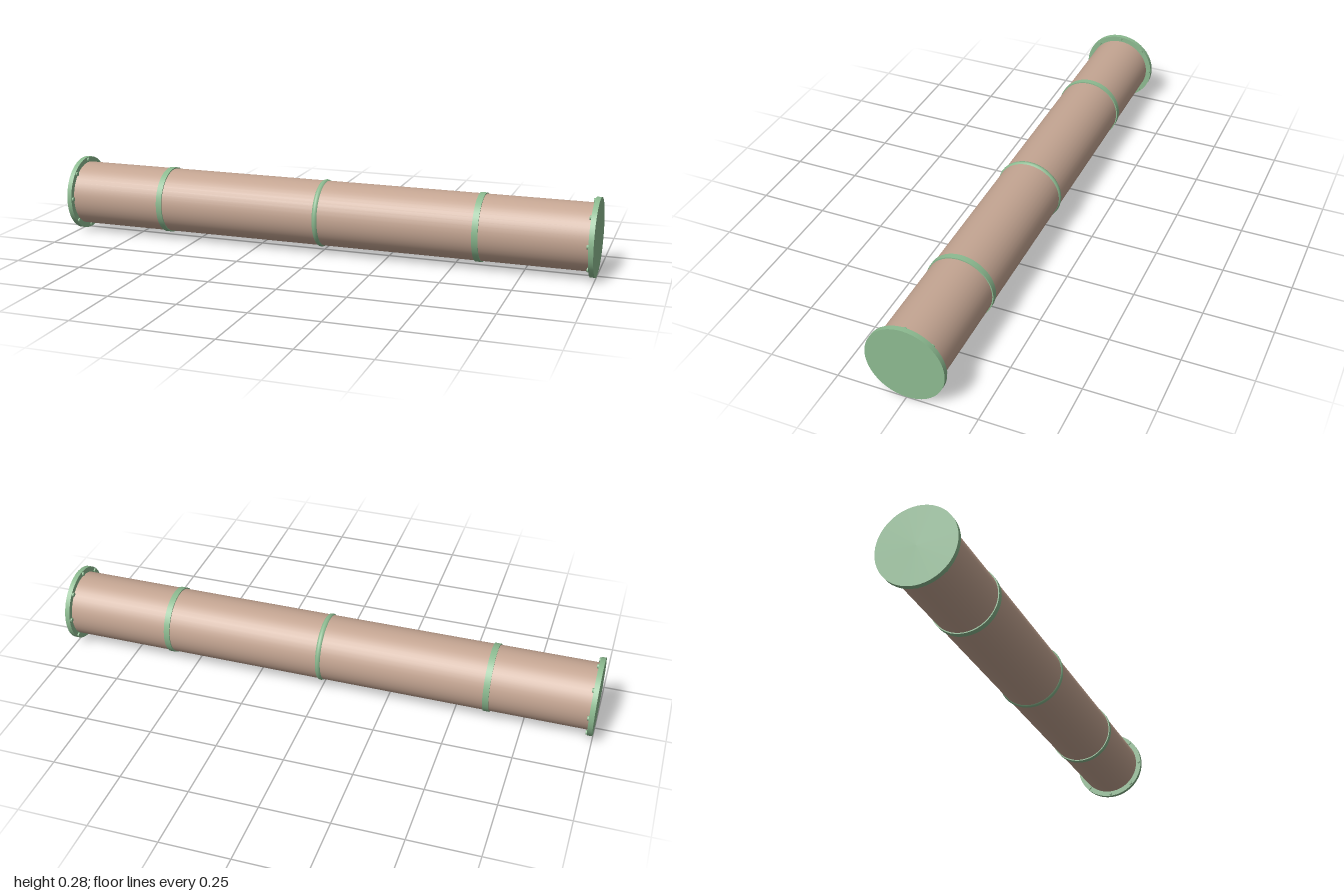
import * as THREE from 'three';

export function createModel() {
  const model = new THREE.Group();
  const tan = new THREE.MeshStandardMaterial({ color: 0xc4a592 });
  const green = new THREE.MeshStandardMaterial({ color: 0x8cba90 });
  const axisY = 0.14;

  // Solid cylinder lying along x
  function disc(name, radius, width, x, material, y = axisY, z = 0, sides = 48) {
    const geometry = new THREE.CylinderGeometry(radius, radius, width, sides);
    geometry.rotateZ(Math.PI / 2);
    const mesh = new THREE.Mesh(geometry, material);
    mesh.name = name;
    mesh.position.set(x, y, z);
    model.add(mesh);
  }

  disc('pipe', 0.12, 1.97, 0, tan);

  // Bands around the pipe
  disc('leftBand', 0.124, 0.022, 0.59, green);
  disc('rightBand', 0.124, 0.022, -0.62, green);

  // Rounded weld bead at the middle
  const bead = new THREE.Mesh(new THREE.TorusGeometry(0.113, 0.012, 12, 48), green);
  bead.name = 'middleBand';
  bead.rotation.y = Math.PI / 2;
  bead.position.y = axisY;
  model.add(bead);

  // End flanges with a ring of bolts on their inner faces
  for (const side of [-1, 1]) {
    disc(side > 0 ? 'leftFlange' : 'rightFlange', 0.14, 0.018, side * 0.991, green);
    for (let i = 0; i < 8; i++) {
      const a = (i / 8) * Math.PI * 2;
      disc('bolt', 0.008, 0.008, side * 0.98, green,
        axisY + 0.13 * Math.sin(a), 0.13 * Math.cos(a), 8);
    }
  }
  return model;
}
